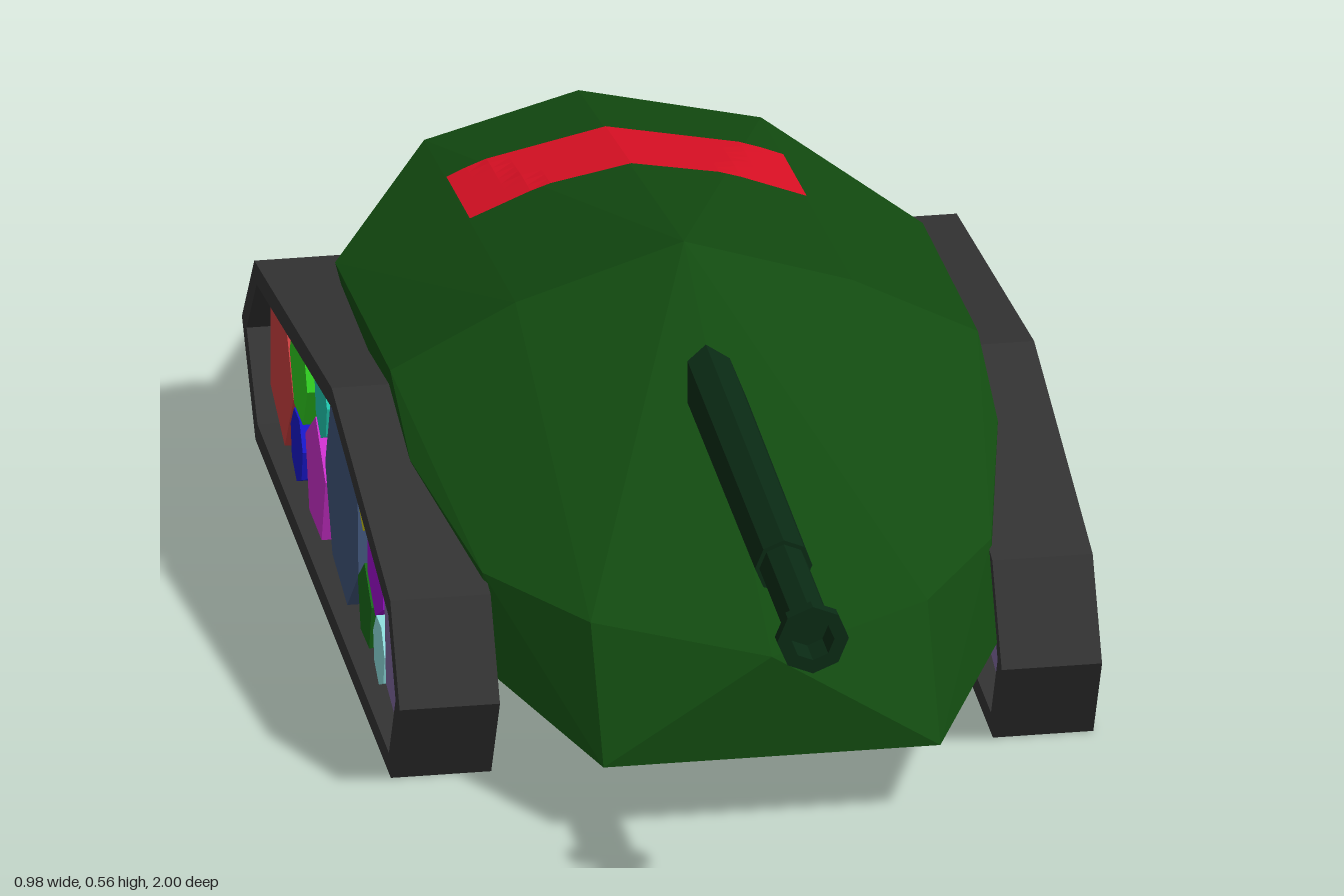
import * as THREE from 'three';
import { ConvexGeometry } from 'three/addons/geometries/ConvexGeometry.js';

const paint = (color, side = THREE.FrontSide) =>
  new THREE.MeshStandardMaterial({ color, flatShading: true, side });

function add(parent, name, geometry, material) {
  const mesh = new THREE.Mesh(geometry, material);
  mesh.name = name;
  parent.add(mesh);
  return mesh;
}

// Faceted hull: centre-line points plus mirrored side points
function hullGeometry() {
  const centre = [[0.26, 0.65], [0.555, -0.1], [0.385, -1]];
  const sides = [
    [0.235, 0.28, 0.54], [0.235, 0.48, -0.1], [0.235, 0.38, -0.88],
    [0.41, 0.33, 0.07], [0.41, 0.39, -0.1], [0.41, 0.345, -0.57],
    [0.355, 0.28, 0.35], [0.355, 0.16, 0.42], [0.355, 0.16, -0.74],
    [0.235, 0.11, 0.65], [0.235, 0.11, -0.97],
  ];
  const points = centre.map(([y, z]) => new THREE.Vector3(0, y, z));
  for (const [x, y, z] of sides)
    for (const s of [-1, 1]) points.push(new THREE.Vector3(s * x, y, z));
  return new ConvexGeometry(points);
}

// Chevron panel that follows the rear deck
function deckPanelGeometry() {
  const g = new THREE.PlaneGeometry(0.47, 1, 16, 8).rotateX(-Math.PI / 2);
  const p = g.attributes.position;
  for (let i = 0; i < p.count; i++) {
    const x = Math.abs(p.getX(i));
    const t = x / 0.235;
    const front = -0.55 + 0.06 * t;
    const back = -0.77 + 0.08 * t;
    const z = back + (front - back) * (p.getZ(i) + 0.5);
    const y = Math.min(0.555 - 0.319 * x + 0.128 * (z + 0.1),
      0.555 - 0.119 * x + 0.189 * (z + 0.1));
    p.setXYZ(i, p.getX(i), y + 0.004, z);
  }
  g.computeVertexNormals();
  return g;
}

// Track belt: side outline (z, y) with an open middle
function trackGeometry() {
  const vec = (list) => list.map(([z, y]) => new THREE.Vector2(-z, y));
  const shape = new THREE.Shape(vec([[0.47, 0.135], [0.395, 0], [-0.76, 0],
    [-0.875, 0.135], [-0.77, 0.265], [-0.11, 0.365], [0.39, 0.265]]));
  shape.holes.push(new THREE.Path(vec([[0.435, 0.135], [0.378, 0.03], [-0.742, 0.03],
    [-0.835, 0.135], [-0.75, 0.238], [-0.11, 0.335], [0.373, 0.236]])));
  const g = new THREE.ExtrudeGeometry(shape, { depth: 0.14, bevelEnabled: false });
  return g.translate(0, 0, -0.07).rotateY(Math.PI / 2);
}

// z, y, radius, sides, first corner in degrees, colour
const WHEELS = [
  [0.307, 0.137, 0.102, 5, 6, 0x8068a0],
  [0.14, 0.205, 0.075, 6, 30, 0xa00cd0],
  [0.035, 0.253, 0.041, 6, 30, 0xd0c810],
  [0.17, 0.09, 0.05, 7, 13, 0x90e0e0],
  [0.05, 0.107, 0.062, 5, 20, 0x186a18],
  [-0.14, 0.182, 0.147, 7, 29, 0x40557a],
  [-0.325, 0.247, 0.054, 7, 13, 0x20c8b0],
  [-0.37, 0.115, 0.09, 5, 18, 0xcc30cc],
  [-0.515, 0.21, 0.075, 6, 0, 0x30cc20],
  [-0.53, 0.09, 0.053, 7, 13, 0x1818cc],
  [-0.665, 0.147, 0.107, 5, 0, 0xcc4040],
];

export function createModel() {
  const model = new THREE.Group();
  add(model, 'hull', hullGeometry(), paint(0x124a10));
  add(model, 'deckPanel', deckPanelGeometry(), paint(0xdd1024, THREE.DoubleSide));

  // Gun: lathe profile along +z with a flared muzzle and shallow bore
  const gun = [[0, 0], [0.042, 0], [0.04, 0.75], [0.034, 0.75], [0.034, 0.98],
    [0.05, 0.98], [0.05, 1], [0.03, 1], [0.03, 0.95], [0, 0.95]];
  const barrel = new THREE.LatheGeometry(gun.map(([r, l]) => new THREE.Vector2(r, l)), 8);
  add(model, 'gunBarrel', barrel.rotateX(Math.PI / 2).translate(0, 0.44, 0),
    paint(0x0a2a14, THREE.DoubleSide));

  // Running gear on both sides
  for (const [label, x] of [['left', 0.42], ['right', -0.42]]) {
    const gear = new THREE.Group();
    gear.name = `${label}RunningGear`;
    gear.position.x = x;
    add(gear, 'trackBelt', trackGeometry(), paint(0x333333));
    WHEELS.forEach(([z, y, r, n, turn, color], i) => {
      const g = new THREE.CylinderGeometry(r, r, 0.1, n, 1, false,
        THREE.MathUtils.degToRad(turn));
      g.rotateZ(Math.PI / 2);
      add(gear, `wheel${i + 1}`, g, paint(color)).position.set(0, y, z);
    });
    model.add(gear);
  }
  return model;
}
